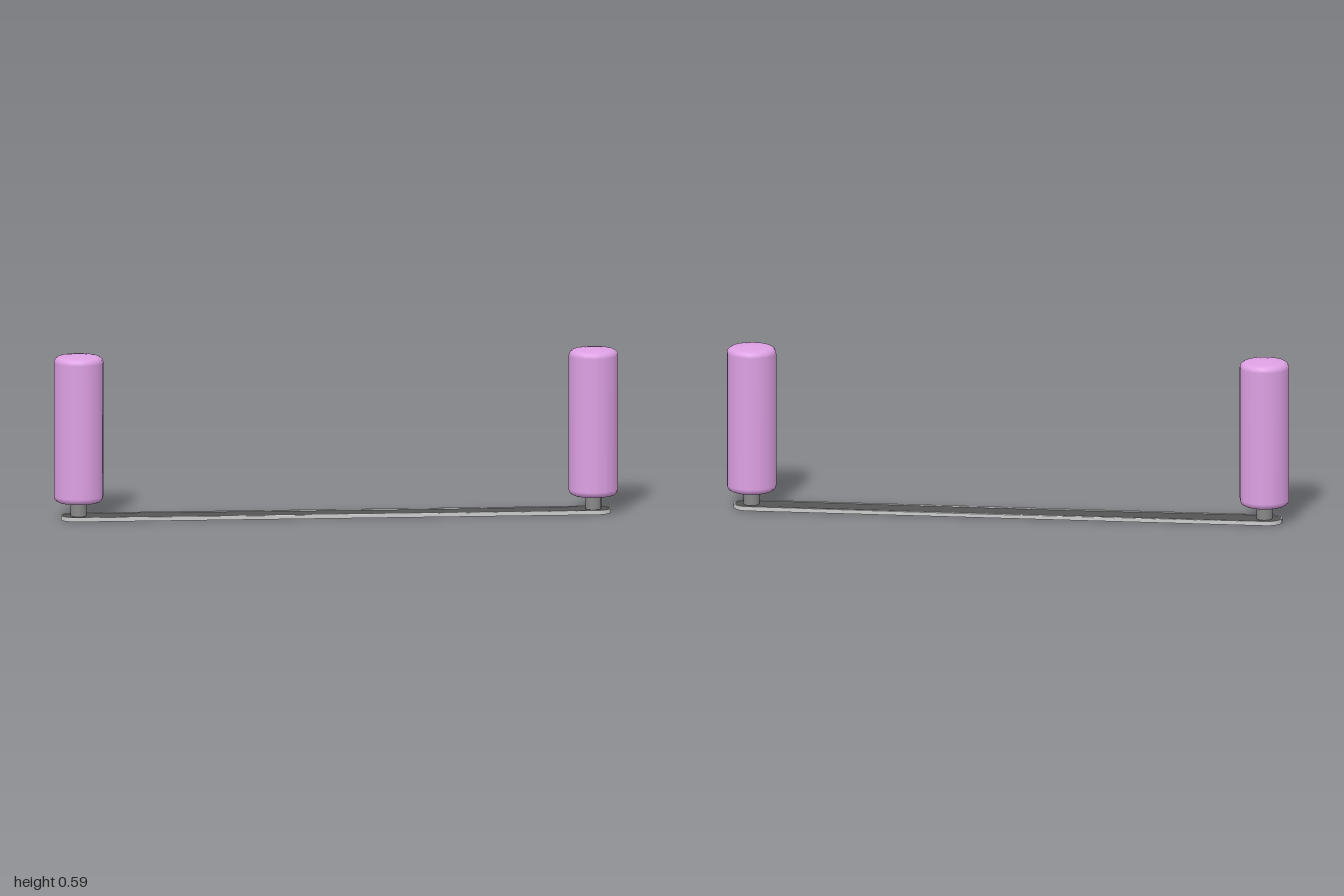
import * as THREE from 'three';

const mat = (color) => new THREE.MeshStandardMaterial({ color });
const END_X = 0.912; // handle axis distance from the centre

// Long outline with semicircular ends, in the XY plane
function stadium(shape, halfLength, r) {
  const c = halfLength - r;
  shape.absarc(c, 0, r, -Math.PI / 2, Math.PI / 2, false);
  // points along the long sides so the bar can sag gently
  for (let i = 1; i < 12; i++) shape.lineTo(c - (2 * c * i) / 12, r);
  shape.absarc(-c, 0, r, Math.PI / 2, Math.PI * 1.5, false);
  for (let i = 1; i < 12; i++) shape.lineTo(-c + (2 * c * i) / 12, -r);
  shape.closePath();
  return shape;
}

// Extrude an outline upwards from y0 to y1, its top slightly lower mid-span
function slab(shape, y0, y1) {
  const geo = new THREE.ExtrudeGeometry(shape, { depth: y1 - y0, bevelEnabled: false, curveSegments: 10 });
  geo.rotateX(-Math.PI / 2).translate(0, y0, 0);
  const p = geo.attributes.position;
  for (let i = 0; i < p.count; i++) {
    if (p.getY(i) > (y0 + y1) / 2) {
      const t = Math.min(1, Math.abs(p.getX(i)) / 0.9);
      p.setY(i, p.getY(i) - 0.003 * (1 - t * t));
    }
  }
  geo.computeVertexNormals();
  return geo;
}

// Turned grip with rounded rims and a faintly domed top
function gripGeometry() {
  const R = 0.088, y0 = 0.063, y1 = 0.585, r = 0.022;
  const pts = [new THREE.Vector2(0, y0)];
  for (let i = 0; i <= 5; i++) {
    const a = -Math.PI / 2 + (i / 5) * (Math.PI / 2);
    pts.push(new THREE.Vector2(R - r + r * Math.cos(a), y0 + r + r * Math.sin(a)));
  }
  for (let i = 0; i <= 5; i++) {
    const a = (i / 5) * (Math.PI / 2);
    pts.push(new THREE.Vector2(R - r + r * Math.cos(a), y1 - r + r * Math.sin(a)));
  }
  pts.push(new THREE.Vector2(0.035, 0.589), new THREE.Vector2(0, 0.59));
  return new THREE.LatheGeometry(pts, 16, Math.PI / 2);
}

export function createModel() {
  const model = new THREE.Group();
  const add = (name, geo, material, parent = model) => {
    const mesh = new THREE.Mesh(geo, material);
    mesh.name = name;
    parent.add(mesh);
    return mesh;
  };

  // Mounting bar: light rim around a dark inset strip
  const rim = stadium(new THREE.Shape(), 0.975, 0.052);
  rim.holes.push(stadium(new THREE.Path(), 0.969, 0.046));
  add('barRim', slab(rim, 0, 0.016), mat(0xcccccc));
  add('barStrip', slab(stadium(new THREE.Shape(), 0.97, 0.047), 0.002, 0.014), mat(0x555555));

  // A post and grip at each end
  const grip = gripGeometry();
  const post = new THREE.CylinderGeometry(0.028, 0.028, 0.06, 16).translate(0, 0.04, 0);
  const gripMat = mat(0xdda0e3), postMat = mat(0x888888);
  for (const [side, s] of [['left', 1], ['right', -1]]) {
    const handle = new THREE.Group();
    handle.name = side + 'Handle';
    handle.position.x = s * END_X;
    add(side + 'Post', post, postMat, handle);
    add(side + 'Grip', grip, gripMat, handle);
    model.add(handle);
  }
  return model;
}
